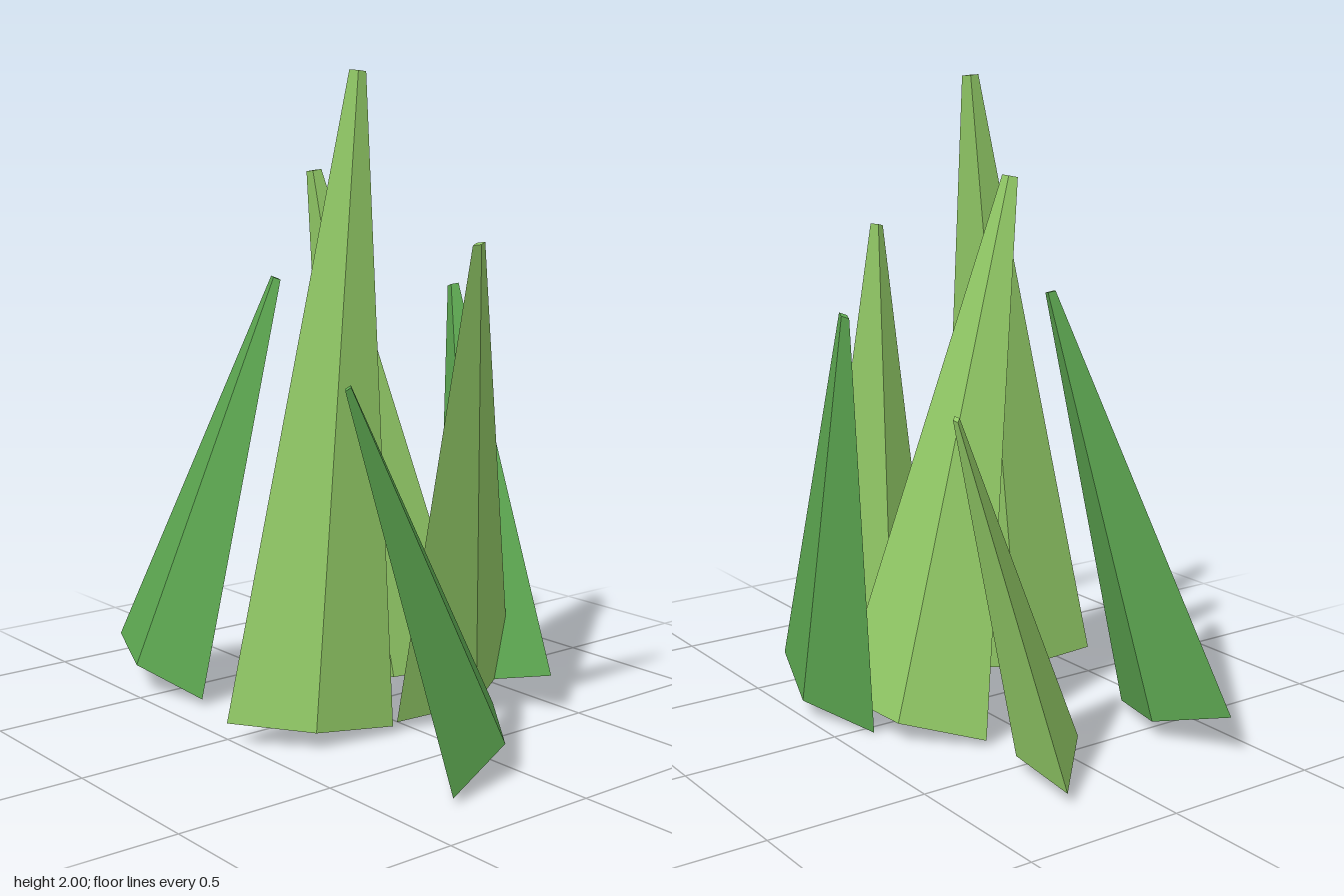
import * as THREE from 'three';

const lightGreen = new THREE.MeshStandardMaterial({ color: 0x93cb67 });
lightGreen.name = 'lightGreen';
const deepGreen = new THREE.MeshStandardMaterial({ color: 0x5ca650 });
deepGreen.name = 'deepGreen';

const HALF_WIDTH = 0.255;
const HALF_DEPTH = 0.095;
const TIP_RATIO = 0.1;

// Each blade: base centre, tip centre, and the ground direction [x, z] of its wide axis
const blades = [
  { name: 'frontRightBlade', base: [-0.56, 0.077, 0.385], tip: [-0.285, 1.365, 0.1], wide: [1, 0], material: deepGreen },
  { name: 'backRightBlade', base: [-0.56, 0.075, -0.11], tip: [-0.57, 1.09, -0.437], wide: [0.23, 0.105], material: lightGreen },
  { name: 'middleBlade', base: [-0.105, 0.055, -0.285], tip: [-0.185, 1.705, 0.022], wide: [0.215, -0.125], material: lightGreen },
  { name: 'backBlade', base: [0.205, 0.067, -0.403], tip: [-0.125, 1.325, -0.518], wide: [0.245, -0.02], material: deepGreen },
  { name: 'tallBlade', base: [0.158, 0.05, 0.305], tip: [0.117, 1.998, 0.09], wide: [0.1175, -0.225], material: lightGreen },
  { name: 'leftBlade', base: [0.245, 0.075, -0.2], tip: [0.588, 1.505, 0.036], wide: [0.015, 0.25], material: lightGreen },
  { name: 'frontLeftBlade', base: [0.668, 0.077, 0.11], tip: [0.542, 1.13, 0.468], wide: [0.1385, 0.205], material: deepGreen },
];

// Tapered diamond prism with a small flat tip, standing square to its own axis
function makeBlade({ name, base, tip, wide, material }) {
  const from = new THREE.Vector3(...base);
  const to = new THREE.Vector3(...tip);
  const up = to.clone().sub(from);
  const length = up.length();
  up.normalize();

  // Tilt the wide axis so that it is perpendicular to the blade
  const side = new THREE.Vector3(wide[0], -(wide[0] * up.x + wide[1] * up.z) / up.y, wide[1]).normalize();
  const depth = new THREE.Vector3().crossVectors(side, up);

  const geometry = new THREE.CylinderGeometry(TIP_RATIO, 1, length, 4)
    .scale(HALF_WIDTH, 1, HALF_DEPTH)
    .toNonIndexed();
  geometry.computeVertexNormals(); // faceted sides

  const mesh = new THREE.Mesh(geometry, material);
  mesh.name = name;
  mesh.position.lerpVectors(from, to, 0.5);
  mesh.quaternion.setFromRotationMatrix(new THREE.Matrix4().makeBasis(side, up, depth));
  return mesh;
}

export function createModel() {
  const grass = new THREE.Group();
  grass.name = 'grassTuft';
  for (const blade of blades) grass.add(makeBlade(blade));
  return grass;
}
